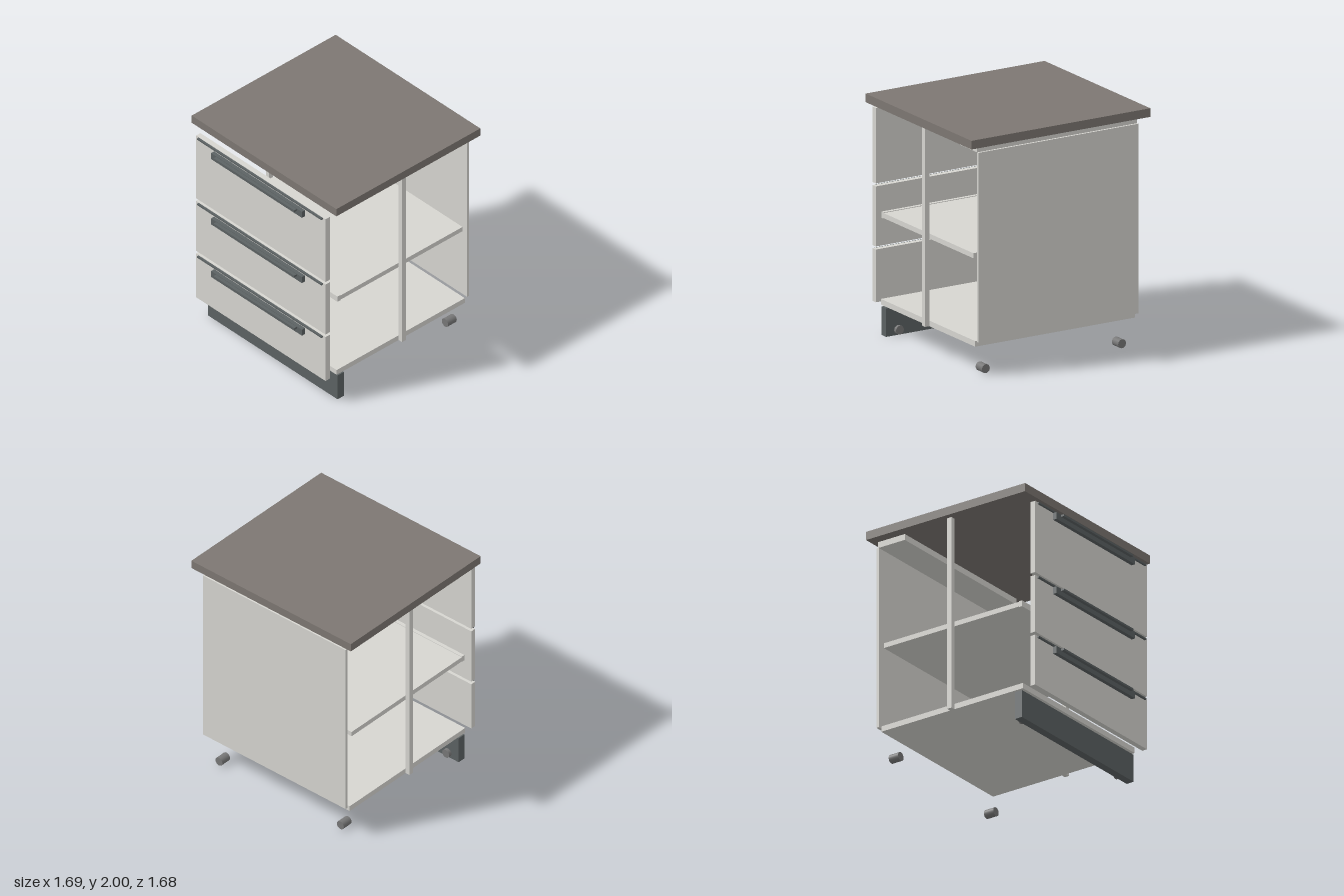
import * as THREE from 'three';

const mat = (color) => new THREE.MeshStandardMaterial({ color });

export function createModel() {
  const model = new THREE.Group();
  model.name = 'drawerCabinet';
  const panel = mat(0xd6d5d0), stone = mat(0x7d7772), dark = mat(0x5c6263), foot = mat(0x777777);

  // Box given by its extents on each axis
  function box(name, material, [x0, x1], [y0, y1], [z0, z1], parent = model) {
    const mesh = new THREE.Mesh(new THREE.BoxGeometry(x1 - x0, y1 - y0, z1 - z0), material);
    mesh.position.set((x0 + x1) / 2, (y0 + y1) / 2, (z0 + z1) / 2);
    mesh.name = name;
    parent.add(mesh);
    return mesh;
  }
  const wide = (w) => [-w, w];

  // Worktop and carcass
  box('worktop', stone, wide(0.847), [1.928, 2], [-0.838, 0.732]);
  box('bottomPanel', panel, wide(0.758), [0.25, 0.297], [-0.752, 0.646]);
  box('backPanel', panel, wide(0.758), [0.297, 1.876], [-0.8, -0.777]);
  box('backRail', panel, wide(0.758), [1.876, 1.928], [-0.782, -0.52]);
  box('shelf', panel, wide(0.758), [0.98, 1.022], [-0.727, 0.606]);
  box('shelfEdge', panel, wide(0.758), [0.975, 1.027], [0.606, 0.637]);
  box('rightPost', panel, [-0.798, -0.758], [0.25, 1.928], [-0.073, -0.03]);
  box('leftPost', panel, [0.758, 0.798], [0.25, 1.928], [-0.073, -0.03]);
  box('plinth', dark, wide(0.758), [0, 0.237], [0.567, 0.636]);

  // Drawers: front, thin top strip and stepped handle
  [[1.24, 1.868], [0.715, 1.215], [0.25, 0.689]].forEach(([bottom, top], i) => {
    const drawer = new THREE.Group();
    drawer.name = `drawer${i + 1}`;
    box('drawerFront', panel, wide(0.758), [bottom, top], [0.72, 0.767], drawer);
    box('gripStrip', dark, wide(0.728), [top - 0.017, top - 0.004], [0.767, 0.785], drawer);
    box('handleBar', dark, wide(0.532), [top - 0.087, top - 0.027], [0.78, 0.814], drawer);
    box('handleLip', dark, wide(0.472), [top - 0.048, top - 0.031], [0.814, 0.842], drawer);
    model.add(drawer);
  });

  // Feet: short cylinders lying front to back
  const footGeometry = new THREE.CylinderGeometry(0.037, 0.037, 0.094, 24).rotateX(Math.PI / 2);
  for (const x of [-0.645, 0.645]) {
    for (const z of [-0.688, 0.586]) {
      const mesh = new THREE.Mesh(footGeometry, foot);
      mesh.position.set(x, 0.045, z);
      mesh.name = z > 0 ? 'frontFoot' : 'backFoot';
      model.add(mesh);
    }
  }
  return model;
}
